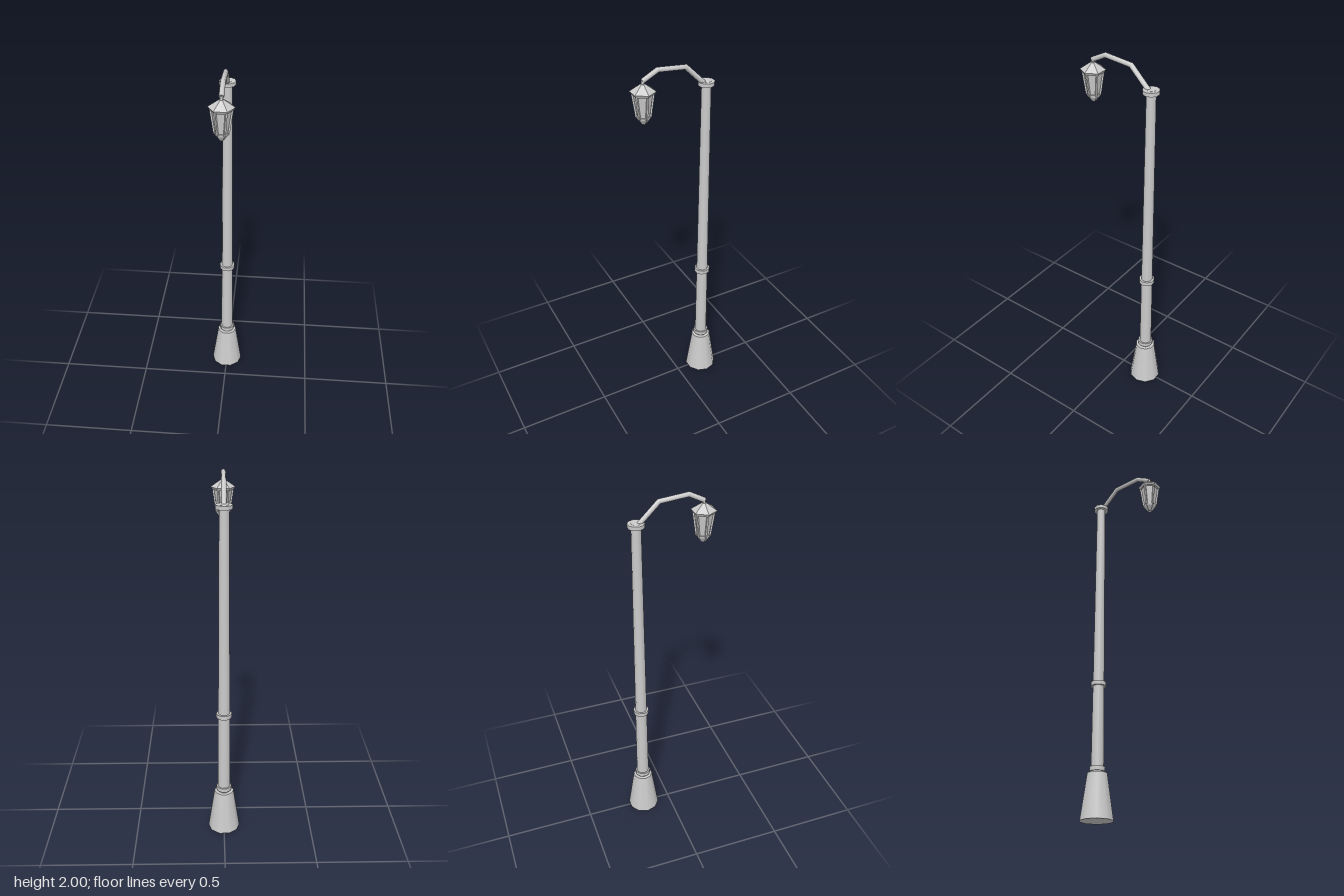
import * as THREE from 'three';

const smooth = new THREE.MeshStandardMaterial({ color: 0xcccccc });
const flat = new THREE.MeshStandardMaterial({ color: 0xcccccc, flatShading: true });
const POLE_Z = -0.158, LAMP_Z = 0.187;

// Prism or frustum between two heights, with a corner on the x axis
function frustum(name, rBottom, rTop, y0, y1, sides, material) {
  const geo = new THREE.CylinderGeometry(rTop, rBottom, y1 - y0, sides, 1, false, Math.PI / 2);
  const mesh = new THREE.Mesh(geo, material);
  mesh.position.y = (y0 + y1) / 2;
  mesh.name = name;
  return mesh;
}

// Tube along a bent path in the yz plane, mitred at each bend; points are [z, y]
function bentTube(path, radius, sides) {
  const pts = path.map(([z, y]) => new THREE.Vector3(0, y, z));
  const last = pts.length - 1;
  const geo = new THREE.CylinderGeometry(1, 1, 1, sides, last);
  const dirs = pts.slice(1).map((p, i) => p.clone().sub(pts[i]).normalize());
  const pos = geo.attributes.position;
  for (let i = 0; i < pos.count; i++) {
    const k = Math.round((pos.getY(i) + 0.5) * last);
    const a = dirs[Math.max(k - 1, 0)], b = dirs[Math.min(k, last - 1)];
    const t = a.clone().add(b).normalize();
    const s = pos.getZ(i) * radius / t.dot(a);
    pos.setXYZ(i, pos.getX(i) * radius, pts[k].y - t.z * s, pts[k].z + t.y * s);
  }
  geo.computeVertexNormals();
  return geo;
}

export function createModel() {
  const model = new THREE.Group();
  model.name = 'streetLamp';

  // Post: flared foot, tapering shaft and collars
  const post = new THREE.Group();
  post.name = 'post';
  post.position.z = POLE_Z;
  post.add(
    frustum('foot', 0.089, 0.054, 0, 0.243, 10, smooth),
    frustum('shaft', 0.035, 0.025, 0.24, 1.881, 10, smooth)
  );
  for (const [y0, y1] of [[0.252, 0.275], [0.72, 0.743], [1.86, 1.88]]) {
    post.add(frustum('collar', 0.043, 0.043, y0, y1, 10, smooth));
  }
  model.add(post);

  // Bent arm reaching forward
  const arm = new THREE.Mesh(
    bentTube([[-0.158, 1.858], [-0.042, 1.973], [0.108, 1.987], [0.188, 1.946]], 0.013, 8), smooth);
  arm.name = 'arm';
  model.add(arm);

  // Hanging six-sided lantern
  const lantern = new THREE.Group();
  lantern.name = 'lantern';
  lantern.position.z = LAMP_Z;
  lantern.add(
    frustum('hanger', 0.008, 0.008, 1.92, 1.95, 8, smooth),
    frustum('roof', 0.065, 0.012, 1.896, 1.932, 6, flat),
    frustum('roofRim', 0.056, 0.065, 1.882, 1.896, 6, flat),
    frustum('glass', 0.030, 0.047, 1.768, 1.884, 6, flat),
    frustum('lowerRim', 0.034, 0.037, 1.757, 1.77, 6, flat),
    frustum('bottomCap', 0.012, 0.034, 1.729, 1.757, 6, flat)
  );

  // Sloping corner bars
  const rTop = 0.052, rBottom = 0.034, yTop = 1.886, yBottom = 1.762;
  const length = Math.hypot(rTop - rBottom, yTop - yBottom);
  for (let i = 0; i < 6; i++) {
    const corner = new THREE.Group();
    corner.name = 'cornerBar';
    corner.rotation.y = i * Math.PI / 3;
    const bar = new THREE.Mesh(new THREE.BoxGeometry(0.009, length, 0.009), flat);
    bar.position.set((rTop + rBottom) / 2, (yTop + yBottom) / 2, 0);
    bar.rotation.z = -Math.atan2(rTop - rBottom, yTop - yBottom);
    corner.add(bar);
    lantern.add(corner);
  }
  model.add(lantern);
  return model;
}
